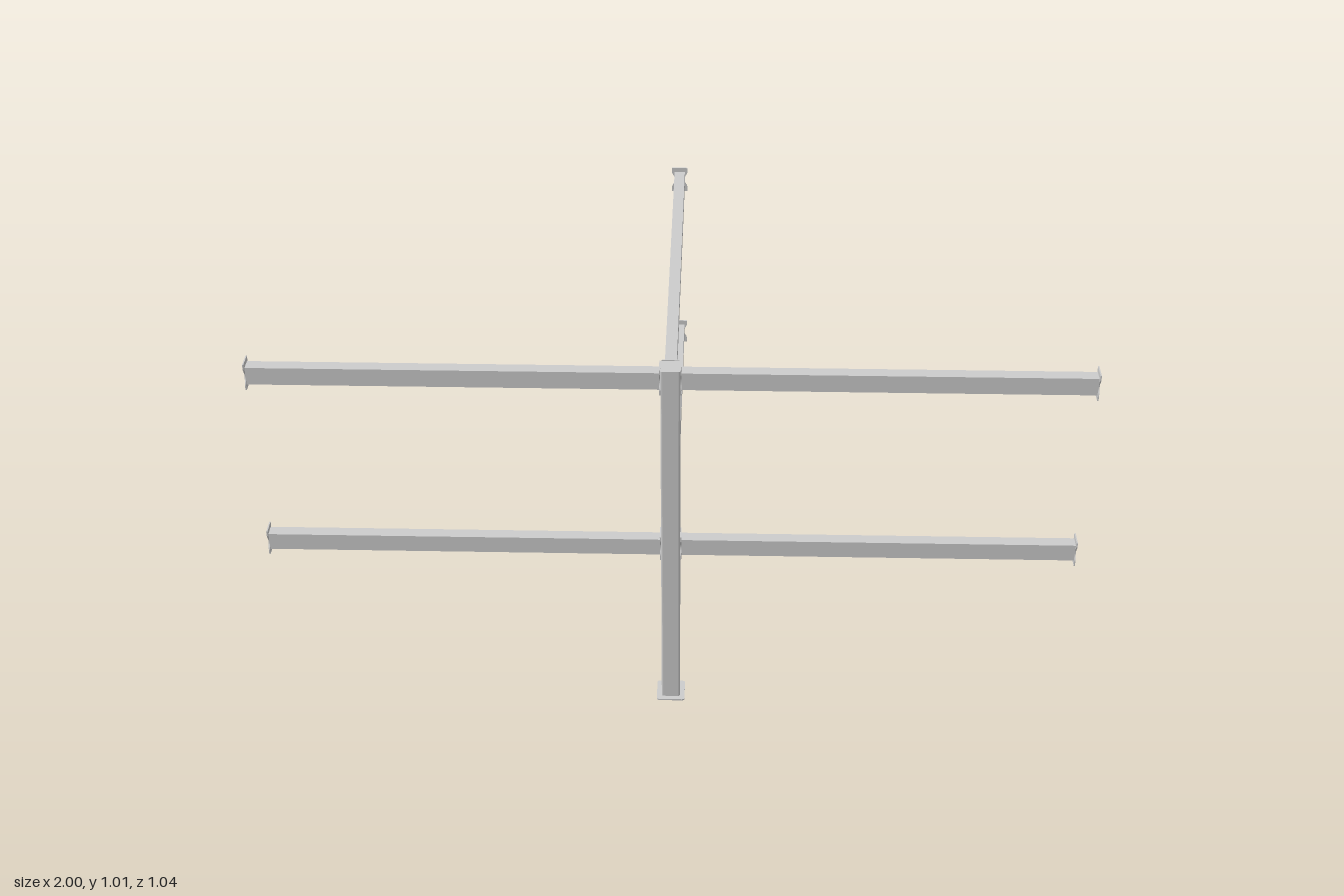
import * as THREE from 'three';

const mat = new THREE.MeshStandardMaterial({ color: 0xcccccc, side: THREE.DoubleSide });
const POST_Z = 0.483, POST_HALF = 0.0235, PLATE = 0.003;

// Rounded square outline, usable as a shape or a hole
function roundedSquare(h, r, Type = THREE.Shape) {
  const s = new Type();
  s.moveTo(h, -h + r);
  s.lineTo(h, h - r);
  s.quadraticCurveTo(h, h, h - r, h);
  s.lineTo(-h + r, h);
  s.quadraticCurveTo(-h, h, -h, h - r);
  s.lineTo(-h, -h + r);
  s.quadraticCurveTo(-h, -h, -h + r, -h);
  s.lineTo(h - r, -h);
  s.quadraticCurveTo(h, -h, h, -h + r);
  return s;
}

// Mounting plate with a curved waist on both sides
function plateShape() {
  const w = 0.021, h = 0.035, waist = 0.013, s = new THREE.Shape();
  s.moveTo(-w, -h);
  s.lineTo(w, -h);
  s.lineTo(w, -0.022);
  s.bezierCurveTo(w - 0.002, -0.012, waist, -0.012, waist, 0);
  s.bezierCurveTo(waist, 0.012, w - 0.002, 0.012, w, 0.022);
  s.lineTo(w, h);
  s.lineTo(-w, h);
  s.lineTo(-w, 0.022);
  s.bezierCurveTo(-w + 0.002, 0.012, -waist, 0.012, -waist, 0);
  s.bezierCurveTo(-waist, -0.012, -w + 0.002, -0.012, -w, -0.022);
  return s;
}

function extrude(shape, depth, name) {
  const geo = new THREE.ExtrudeGeometry(shape, { depth, bevelEnabled: false, curveSegments: 6 });
  const mesh = new THREE.Mesh(geo, mat);
  mesh.name = name;
  return mesh;
}

// Rail running along local +z with a plate at each end
function makeRail(length, width, name) {
  const rail = new THREE.Group();
  rail.name = name;
  const beam = new THREE.Mesh(new THREE.BoxGeometry(width, 0.046, length - 2 * PLATE), mat);
  beam.name = 'railBeam';
  beam.position.z = length / 2;
  rail.add(beam);
  for (const z of [0, length - PLATE]) {
    const plate = extrude(plateShape(), PLATE, 'mountingPlate');
    plate.position.z = z;
    rail.add(plate);
  }
  return rail;
}

export function createModel() {
  const model = new THREE.Group();
  model.name = 'fenceCornerPost';

  // Hollow post
  const section = roundedSquare(POST_HALF, 0.005);
  section.holes.push(roundedSquare(POST_HALF - 0.003, 0.004, THREE.Path));
  const post = extrude(section, 1.005, 'post');
  post.rotation.x = -Math.PI / 2;
  post.position.z = POST_Z;

  // Cap closing the top of the post
  const cap = extrude(roundedSquare(0.0245, 0.006), 0.006, 'postCap');
  cap.rotation.x = -Math.PI / 2;
  cap.position.set(0, 1.005, POST_Z);

  // Base flange, open in the middle
  const flange = roundedSquare(0.036, 0.007);
  flange.holes.push(roundedSquare(POST_HALF - 0.003, 0.004, THREE.Path));
  const base = extrude(flange, 0.004, 'basePlate');
  base.rotation.x = -Math.PI / 2;
  base.position.z = POST_Z;
  model.add(post, cap, base);

  // Two levels of rails going left, right and back
  for (const [level, y] of [['lower', 0.488], ['upper', 0.978]]) {
    for (const side of [1, -1]) {
      const rail = makeRail(1 - POST_HALF, 0.03, level + (side > 0 ? 'LeftRail' : 'RightRail'));
      rail.rotation.y = side * Math.PI / 2;
      rail.position.set(side * POST_HALF, y, POST_Z);
      model.add(rail);
    }
    const back = makeRail(POST_Z - POST_HALF + 0.519, 0.028, level + 'BackRail');
    back.rotation.y = Math.PI;
    back.position.set(0, y, POST_Z - POST_HALF);
    model.add(back);
  }
  return model;
}
